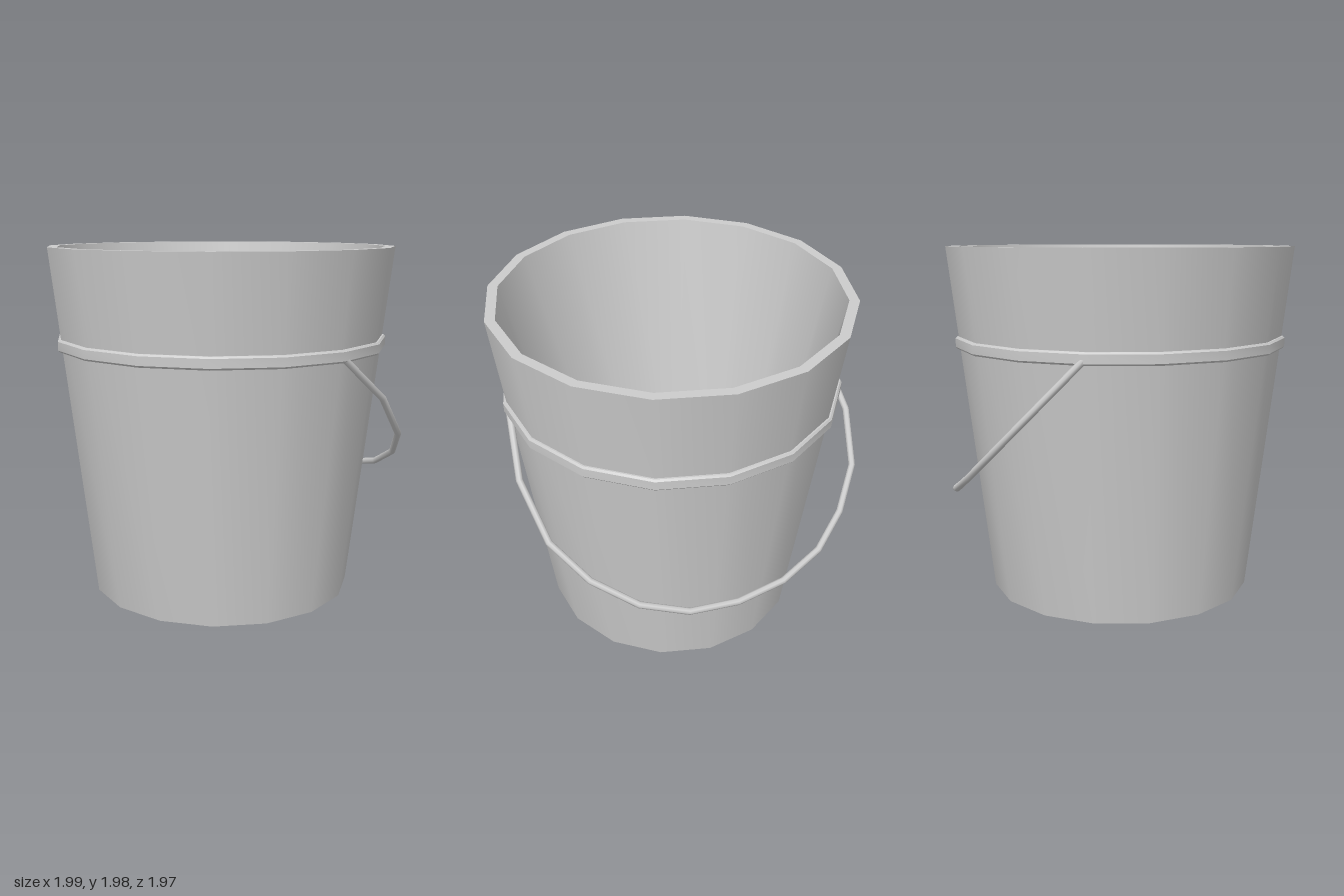
import * as THREE from 'three';
import { toCreasedNormals } from 'three/addons/utils/BufferGeometryUtils.js';

const material = new THREE.MeshStandardMaterial({ color: 0xcccccc });
const SIDES = 16;
const CENTRE_X = 0.012;

// Faceted ring or vessel from a profile of [radius, height] pairs
function turned(name, profile) {
  const points = profile.map(([r, y]) => new THREE.Vector2(r, y));
  const mesh = new THREE.Mesh(toCreasedNormals(new THREE.LatheGeometry(points, SIDES), 0.5), material);
  mesh.name = name;
  mesh.position.x = CENTRE_X;
  return mesh;
}

export function createModel() {
  const group = new THREE.Group();
  group.name = 'bucket';

  // Tapered vessel: underside, outer wall, rim, inner wall, floor
  group.add(turned('vessel', [
    [0, 0], [0.755, 0], [0.985, 1.98], [0.93, 1.98], [0.58, 0.1], [0, 0.1],
  ]));

  // Raised band the handle hangs from
  group.add(turned('band', [
    [0.915, 1.412], [0.936, 1.412], [0.945, 1.422], [0.945, 1.47], [0.936, 1.48], [0.915, 1.48],
  ]));

  // Wire handle, dropped behind the bucket
  const path = [
    [0.93, 1.45, 0], [0.955, 1.19, -0.32], [0.87, 0.945, -0.575], [0.7, 0.78, -0.75],
    [0.47, 0.655, -0.88], [0.21, 0.585, -0.945], [-0.07, 0.57, -0.945], [-0.35, 0.6, -0.9],
    [-0.6, 0.67, -0.8], [-0.785, 0.79, -0.66], [-0.93, 0.96, -0.48], [-0.975, 1.19, -0.25],
    [-0.91, 1.45, 0],
  ].map((p) => new THREE.Vector3(...p));
  const curve = new THREE.CatmullRomCurve3(path);
  // Place one ring exactly on each bend
  curve.getPointAt = curve.getPoint;
  curve.getTangentAt = curve.getTangent;
  const handle = new THREE.Mesh(new THREE.TubeGeometry(curve, path.length - 1, 0.019, 8), material);
  handle.name = 'handle';
  group.add(handle);

  return group;
}
